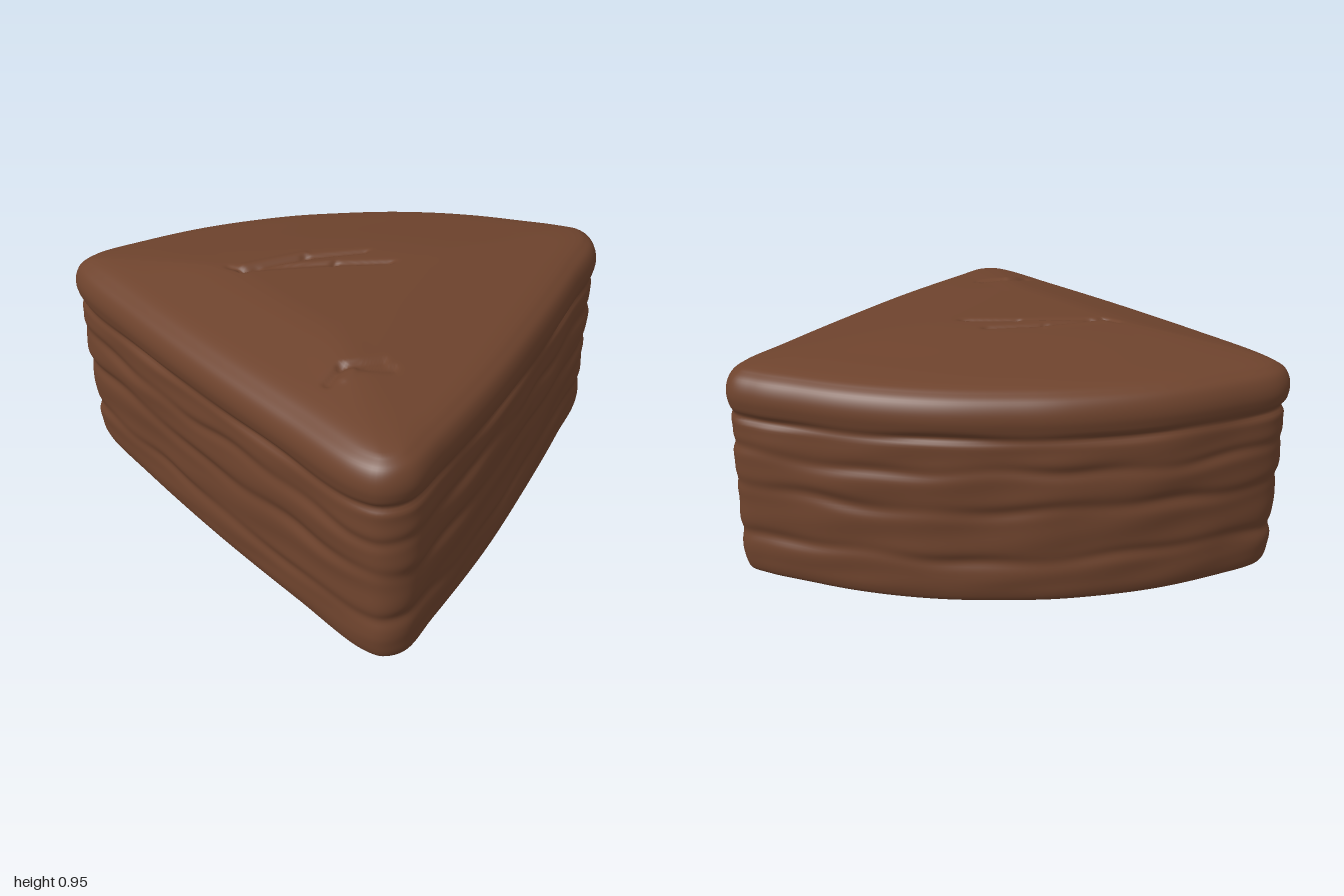
import * as THREE from 'three';

const AROUND = 300;
const TOP_RINGS = 80;
const SIDE_RINGS = 90;
const CENTRE = new THREE.Vector2(-0.35, 0.0);

// Rounded wedge outline (x, z), clockwise seen from above
const OUTLINE = [
  [-0.9, -0.87], [-0.865, -0.96], [-0.77, -1.0], [-0.55, -0.97], [-0.25, -0.89], [0.08, -0.735],
  [0.27, -0.605], [0.45, -0.46], [0.6, -0.305], [0.72, -0.15], [0.82, 0.01], [0.905, 0.155], [0.945, 0.27],
  [0.88, 0.385], [0.6, 0.515], [0.2, 0.68], [-0.2, 0.83], [-0.6, 0.95], [-0.8, 1.0],
  [-0.9, 0.955], [-0.942, 0.86], [-0.95, 0.5], [-0.95, 0], [-0.93, -0.5],
];

// Wall profile: height, offset from the outline
const PROFILE = [
  [0.008, -0.06], [0.02, -0.043], [0.05, -0.031], [0.1, -0.025], [0.3, -0.02],
  [0.5, -0.01], [0.66, -0.012], [0.72, -0.008], [0.77, 0], [0.81, -0.006], [0.845, -0.025], [0.872, -0.065],
];

// Wavy grooves between the layers: height, depth, width, phase, waviness
const GROOVES = [
  [0.695, 0.018, 0.018, 0, 0.35], [0.56, 0.012, 0.026, 1.3, 1], [0.405, 0.014, 0.03, 2.9, 1], [0.195, 0.012, 0.028, 4.4, 1],
];

// Cracks in the icing: x1, z1, x2, z2, depth (negative depth makes a ridge)
const CRACKS = [
  [-0.5, -0.28, -0.25, -0.2, 0.014], [-0.25, -0.2, -0.04, -0.08, 0.014],
  [-0.47, -0.31, -0.23, -0.23, -0.005], [-0.42, -0.24, -0.2, -0.1, -0.005],
  [-0.45, -0.25, -0.2, -0.08, 0.01], [-0.2, -0.08, -0.03, 0.06, 0.013], [-0.5, -0.28, -0.52, -0.34, 0.008],
  [-0.75, 0.52, -0.66, 0.49, 0.013], [-0.66, 0.49, -0.53, 0.56, 0.014],
  [-0.7, 0.55, -0.62, 0.54, -0.005], [-0.62, 0.54, -0.53, 0.61, 0.013],
];

function crackHeight(x, z) {
  let h = 0;
  for (const [x1, z1, x2, z2, depth] of CRACKS) {
    const dx = x2 - x1, dz = z2 - z1;
    const t = THREE.MathUtils.clamp(((x - x1) * dx + (z - z1) * dz) / (dx * dx + dz * dz), 0, 1);
    const d = Math.hypot(x - x1 - t * dx, z - z1 - t * dz);
    h -= depth * Math.exp(-((d / 0.015) ** 2));
  }
  return THREE.MathUtils.clamp(h, -0.018, 0.006);
}

// Offset of the wall caused by layer grooves and soft lumps
function wallRelief(y, a) {
  let r = 0;
  for (const [gy, depth, width, phase, waviness] of GROOVES) {
    const wave = waviness * (0.01 * Math.sin(5 * a + phase) + 0.006 * Math.sin(13 * a + 2 * phase));
    const strength = 0.75 + 0.25 * Math.sin(9 * a + phase * 3);
    r -= depth * strength * Math.exp(-(((y - gy - wave) / width) ** 2));
  }
  const fade = THREE.MathUtils.smoothstep(y, 0.03, 0.12) * (1 - THREE.MathUtils.smoothstep(y, 0.6, 0.7));
  return r + fade * 0.004 * Math.sin(11 * a + 24 * y) * Math.sin(5 * a - 17 * y);
}

function buildCakeGeometry() {
  const curve = new THREE.CatmullRomCurve3(
    OUTLINE.map(([x, z]) => new THREE.Vector3(x, 0, z)), true, 'centripetal');
  const base = [];
  for (let k = 0; k < AROUND; k++) {
    const p = curve.getPointAt(k / AROUND), t = curve.getTangentAt(k / AROUND);
    base.push({ x: p.x, z: p.z, nx: t.z, nz: -t.x, a: (k / AROUND) * Math.PI * 2 });
  }

  const positions = [], index = [];
  let rings = 0;

  // Wall and rounded shoulder
  const side = new THREE.CatmullRomCurve3(PROFILE.map(([y, o]) => new THREE.Vector3(o, y, 0)), false, 'centripetal');
  for (let i = 0; i <= SIDE_RINGS; i++, rings++) {
    const { x: offset, y } = side.getPointAt(i / SIDE_RINGS);
    for (const b of base) {
      const o = offset + wallRelief(y, b.a);
      positions.push(b.x + b.nx * o, y, b.z + b.nz * o);
    }
  }

  // Gently domed top, rings shrinking to the centre
  for (let i = 1; i < TOP_RINGS; i++, rings++) {
    const t = i / TOP_RINGS;
    const y = 0.872 + 0.025 * (1 - Math.exp(-t * 14)) + 0.055 * THREE.MathUtils.smoothstep(t, 0, 0.72);
    for (const b of base) {
      const x = THREE.MathUtils.lerp(b.x - b.nx * 0.065, CENTRE.x, t);
      const z = THREE.MathUtils.lerp(b.z - b.nz * 0.065, CENTRE.y, t);
      positions.push(x, y + crackHeight(x, z), z);
    }
  }
  positions.push(CENTRE.x, 0.952 + crackHeight(CENTRE.x, CENTRE.y), CENTRE.y);

  for (let i = 0; i < rings; i++) {
    for (let k = 0; k < AROUND; k++) {
      const n = (k + 1) % AROUND;
      const a = i * AROUND + k, b = i * AROUND + n;
      if (i === rings - 1) index.push(a, rings * AROUND, b);
      else index.push(a, a + AROUND, b, b, a + AROUND, b + AROUND);
    }
  }

  const geometry = new THREE.BufferGeometry();
  geometry.setAttribute('position', new THREE.Float32BufferAttribute(positions, 3));
  geometry.setIndex(index);
  geometry.computeVertexNormals();
  return geometry;
}

export function createModel() {
  const group = new THREE.Group();
  group.name = 'cakeSlice';

  // Hollow shell, open underneath
  const chocolate = new THREE.MeshStandardMaterial({ color: 0x6e432d, side: THREE.DoubleSide });
  chocolate.name = 'chocolate';
  const cake = new THREE.Mesh(buildCakeGeometry(), chocolate);
  cake.name = 'layeredCake';
  group.add(cake);
  return group;
}
